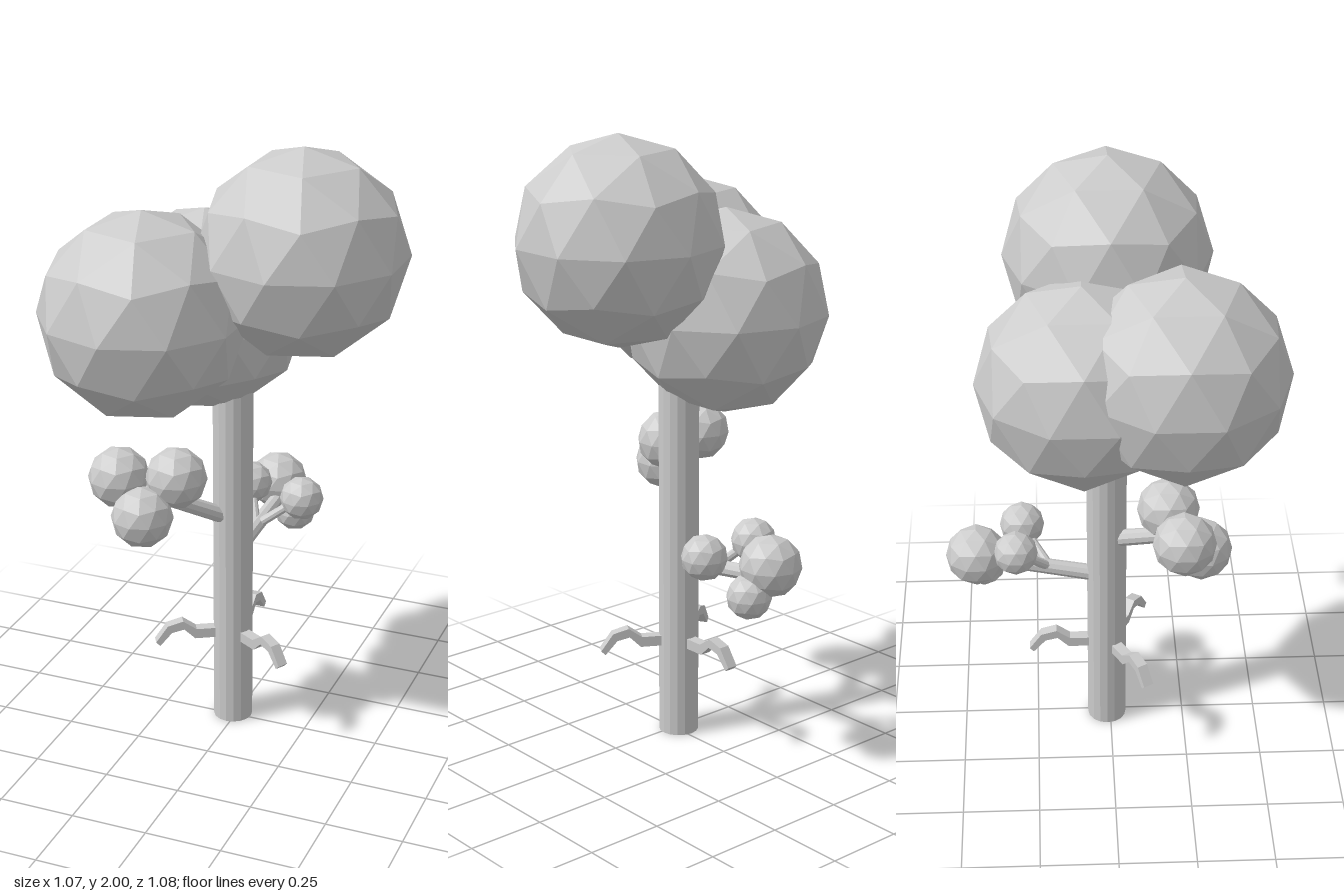
import * as THREE from 'three';

const material = new THREE.MeshStandardMaterial({ color: 0xcccccc, flatShading: true });

function addMesh(parent, name, geometry) {
  const mesh = new THREE.Mesh(geometry, material);
  mesh.name = name;
  parent.add(mesh);
  return mesh;
}

// Faceted ball of leaves with one vertex pointing straight up
const ballGeometry = new THREE.IcosahedronGeometry(1, 1);
ballGeometry.rotateZ(-Math.atan2(2, 1 + Math.sqrt(5)));

function addBall(parent, name, [x, y, z, r]) {
  const ball = addMesh(parent, name, ballGeometry);
  ball.position.set(x, y, z);
  ball.scale.setScalar(r);
}

// Straight rod between two points
function addRod(parent, name, from, to, r0, r1) {
  const a = new THREE.Vector3(...from);
  const b = new THREE.Vector3(...to);
  const dir = b.clone().sub(a);
  const rod = addMesh(parent, name, new THREE.CylinderGeometry(r1, r0, dir.length(), 10));
  rod.position.copy(a).add(b).multiplyScalar(0.5);
  rod.quaternion.setFromUnitVectors(new THREE.Vector3(0, 1, 0), dir.normalize());
}

export function createModel() {
  const tree = new THREE.Group();
  tree.name = 'tree';
  const cx = -0.013, cz = -0.012;

  // Trunk
  addMesh(tree, 'trunk', new THREE.CylinderGeometry(0.065, 0.065, 1.19, 16))
    .position.set(cx, 0.595, cz);

  // Crown of three large balls
  const crown = new THREE.Group();
  crown.name = 'crown';
  tree.add(crown);
  [
    [0.22, 1.67, 0, 0.33],
    [-0.22, 1.485, 0.21, 0.33],
    [-0.14, 1.42, -0.09, 0.33],
  ].forEach((b) => addBall(crown, 'crownBall', b));

  // Front branch with three balls
  const front = new THREE.Group();
  front.name = 'frontBranch';
  tree.add(front);
  addRod(front, 'branch', [-0.03, 0.755, 0.02], [-0.21, 0.9, 0.23], 0.028, 0.025);
  [
    [-0.31, 0.93, 0.22, 0.1],
    [-0.13, 0.94, 0.18, 0.1],
    [-0.205, 0.835, 0.28, 0.1],
  ].forEach((b) => addBall(front, 'leafBall', b));

  // Back branch with two side twigs and four balls
  const back = new THREE.Group();
  back.name = 'backBranch';
  tree.add(back);
  addRod(back, 'branch', [cx, 0.6, -0.04], [0.01, 0.66, -0.42], 0.027, 0.024);
  addRod(back, 'twig', [-0.005, 0.625, -0.2], [0.125, 0.71, -0.295], 0.016, 0.014);
  addRod(back, 'twig', [-0.005, 0.625, -0.2], [-0.065, 0.73, -0.31], 0.016, 0.014);
  [
    [-0.015, 0.69, -0.44, 0.1],
    [0.055, 0.6, -0.42, 0.072],
    [0.125, 0.71, -0.29, 0.074],
    [-0.065, 0.73, -0.31, 0.072],
  ].forEach((b) => addBall(back, 'leafBall', b));

  // Three bent shoots around the lower trunk: side profile, extruded in width
  const profile = [
    [0.04, 0.34], [0.125, 0.34], [0.17, 0.372], [0.222, 0.357], [0.262, 0.3],
    [0.248, 0.286], [0.208, 0.332], [0.167, 0.342], [0.13, 0.306], [0.04, 0.306],
  ].map((p) => new THREE.Vector2(...p));
  const width = 0.036;
  const shootGeometry = new THREE.ExtrudeGeometry(new THREE.Shape(profile), {
    depth: width, bevelEnabled: false,
  });
  shootGeometry.translate(0, 0, -width / 2);
  for (let i = 0; i < 3; i++) {
    const shoot = addMesh(tree, 'lowShoot', shootGeometry);
    shoot.position.set(cx, 0, cz);
    shoot.rotation.y = Math.PI / 2 + (i * 2 * Math.PI) / 3;
  }

  return tree;
}
